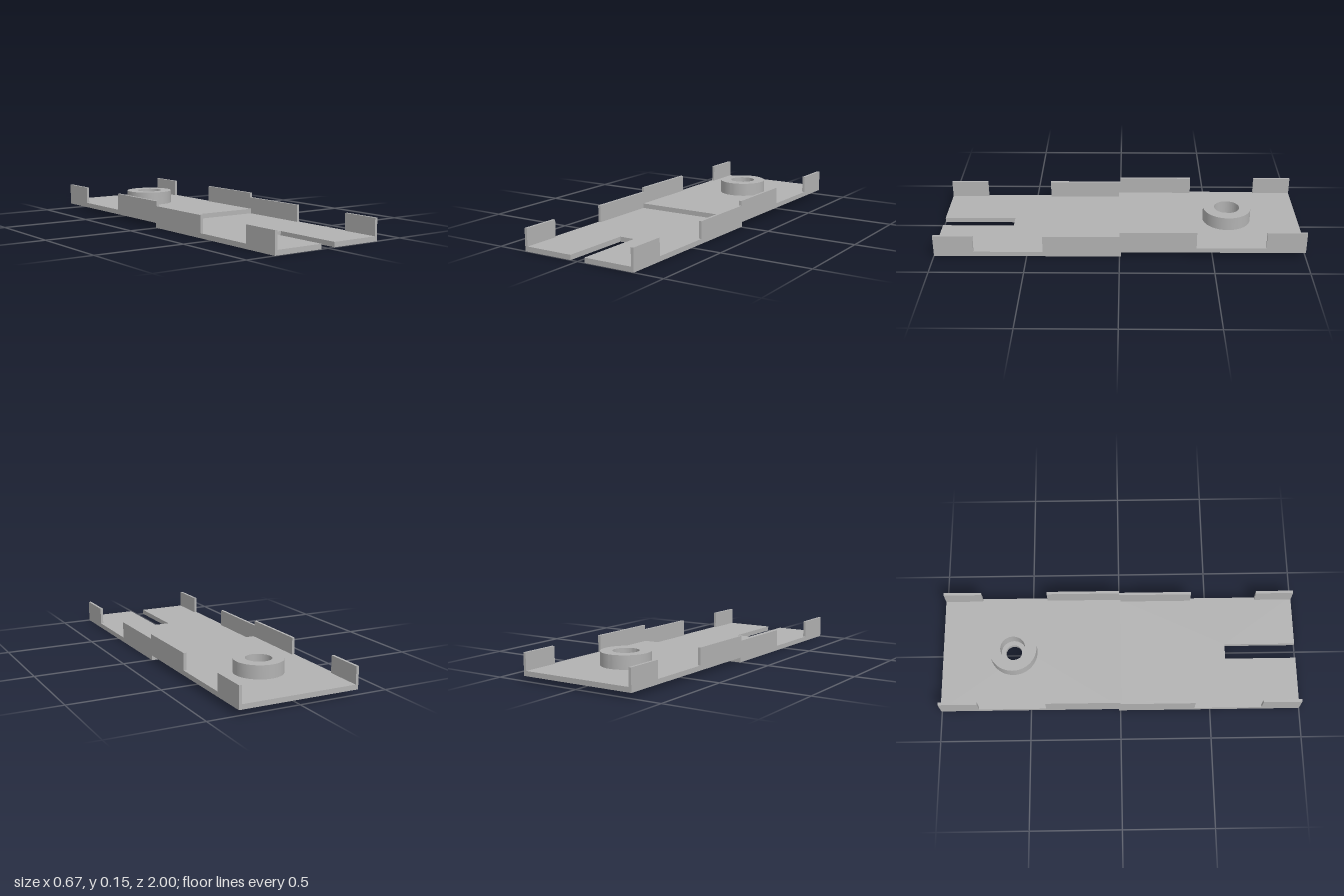
import * as THREE from 'three';
import { toCreasedNormals } from 'three/addons/utils/BufferGeometryUtils.js';

const HALF = 0.333;      // half width of the tray
const THICK = 0.0267;    // floor thickness
const WALL = 0.015;      // side wall thickness
const LAP = 0.008;       // overlap of the two floors at the step
const BOSS_Z = -0.6;

// Extrudes an outline drawn in x / -z upward from height y.
function slab(shape, y, height) {
  const geo = new THREE.ExtrudeGeometry(shape, { depth: height, bevelEnabled: false, curveSegments: 48 });
  geo.rotateX(-Math.PI / 2).translate(0, y, 0);
  return toCreasedNormals(geo, 0.5);
}

function outline(points) {
  return new THREE.Shape(points.map(([x, z]) => new THREE.Vector2(x, -z)));
}

function circle(Type, radius) {
  return new Type().absarc(0, -BOSS_Z, radius, 0, Math.PI * 2, false);
}

export function createModel() {
  const model = new THREE.Group();
  model.name = 'slidingTray';
  const grey = new THREE.MeshStandardMaterial({ color: 0xb2b2b2 });
  grey.name = 'plainGrey';

  function add(name, geometry) {
    const mesh = new THREE.Mesh(geometry, grey);
    mesh.name = name;
    model.add(mesh);
    return mesh;
  }

  // Lower front floor with an open slot
  const slot = 0.043;
  add('frontFloor', slab(outline([
    [-HALF, 1], [-slot, 1], [-slot, 0.6], [slot, 0.6], [slot, 1],
    [HALF, 1], [HALF, -LAP], [-HALF, -LAP],
  ]), 0, THICK));

  // Raised rear floor with a round through hole
  const rear = outline([[-HALF, LAP], [HALF, LAP], [HALF, -1], [-HALF, -1]]);
  rear.holes.push(circle(THREE.Path, 0.045));
  add('rearFloor', slab(rear, THICK, THICK));

  // Ring boss around the hole
  const ring = circle(THREE.Shape, 0.133);
  ring.holes.push(circle(THREE.Path, 0.07));
  add('boss', slab(ring, 2 * THICK, 0.0737));

  // Side walls: name, base height, z from, z to
  const walls = [
    ['frontCornerWall', 0, 0.787, 1],
    ['frontMiddleWall', 0, 0, 0.413],
    ['rearMiddleWall', THICK, -0.413, 0],
    ['rearCornerWall', THICK, -1, -0.787],
  ];
  for (const side of [-1, 1]) {
    for (const [name, y, z0, z1] of walls) {
      const wall = add((side > 0 ? 'left ' : 'right ') + name, new THREE.BoxGeometry(WALL, 0.12, z1 - z0));
      wall.position.set(side * (HALF - WALL / 2), y + 0.06, (z0 + z1) / 2);
    }
  }
  return model;
}
